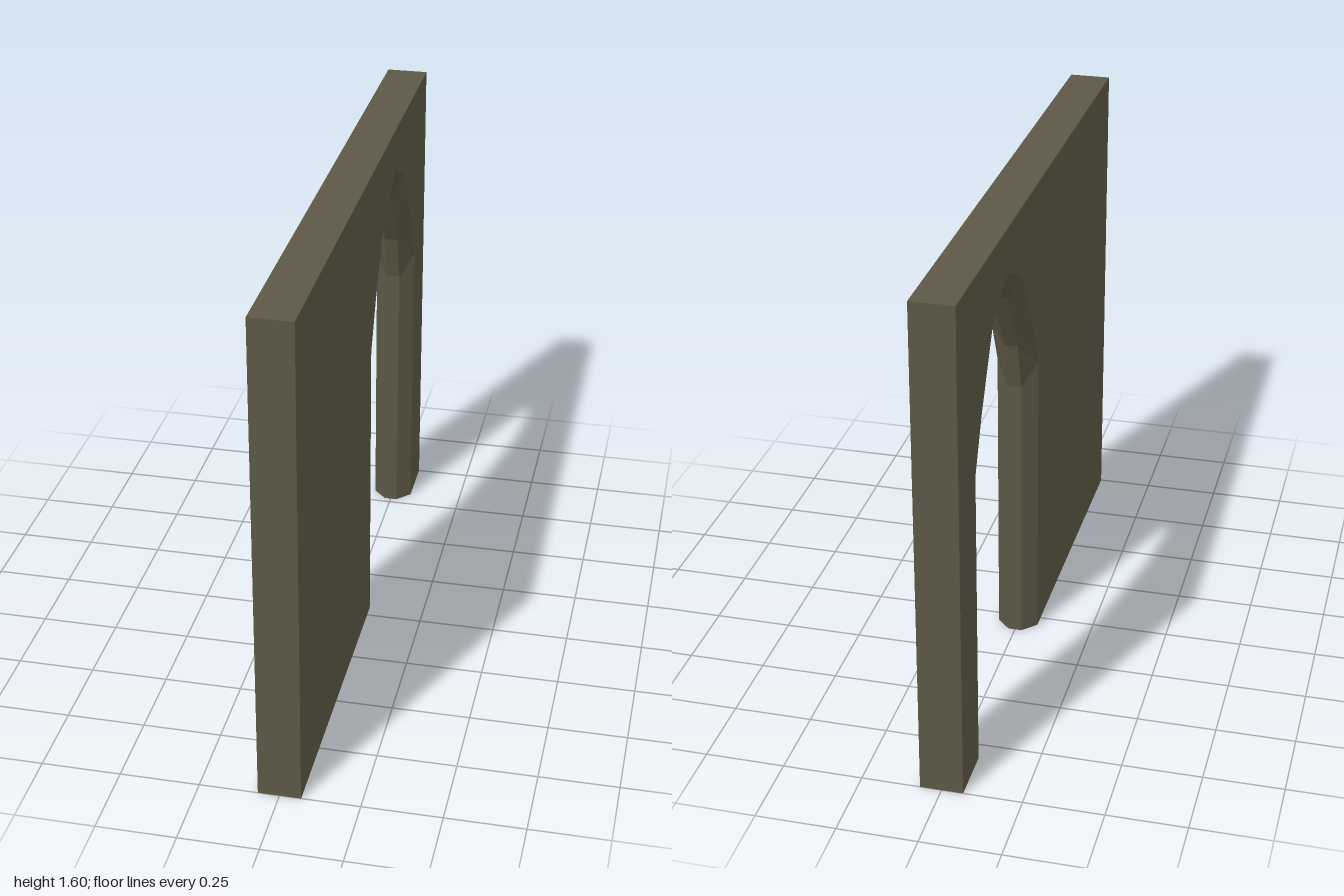
import * as THREE from 'three';

const HALF = 0.067, HEIGHT = 1.595, ARCH_U = 0.432;

// Half-profile of the pointed arch: [half width, height] from floor to peak
const faceArch = [[0.387, 0], [0.387, 0.984], [0.315, 1.139], [0.179, 1.369], [0, 1.455]];
const throatArch = [[0.341, 0], [0.341, 0.914], [0.298, 1.075], [0.16, 1.3], [0, 1.388]];

// Counter-clockwise wall outline seen from +x (u = -z, v = y)
function wallOutline(arch) {
  const rising = arch.map(([w, y]) => new THREE.Vector2(ARCH_U - w, y));
  const falling = arch.slice(0, -1).reverse().map(([w, y]) => new THREE.Vector2(ARCH_U + w, y));
  return [
    new THREE.Vector2(-1, 0), ...rising, ...falling,
    new THREE.Vector2(1, 0), new THREE.Vector2(1, HEIGHT), new THREE.Vector2(-1, HEIGHT),
  ];
}

export function createModel() {
  const stone = new THREE.MeshStandardMaterial({ color: 0x5d5846 });
  stone.name = 'olive stone';

  // Outlines through the thickness: the opening narrows between its chamfers
  const face = wallOutline(faceArch), throat = wallOutline(throatArch);
  const layers = [[-HALF, face], [-0.022, throat], [0.022, throat], [HALF, face]];
  const n = face.length;
  const positions = [], index = [];
  for (const [x, outline] of layers)
    for (const p of outline) positions.push(x, p.y, -p.x);

  // Edges, chamfers and arch throat
  for (let k = 0; k < layers.length - 1; k++)
    for (let i = 0; i < n; i++) {
      const a = k * n + i, b = k * n + (i + 1) % n;
      index.push(a, b, b + n, a, b + n, a + n);
    }

  // Two broad wall faces
  const last = (layers.length - 1) * n;
  for (const [a, b, c] of THREE.ShapeUtils.triangulateShape(face, [])) {
    index.push(last + a, last + b, last + c);
    index.push(a, c, b);
  }

  const indexed = new THREE.BufferGeometry();
  indexed.setAttribute('position', new THREE.Float32BufferAttribute(positions, 3));
  indexed.setIndex(index);
  const geometry = indexed.toNonIndexed();
  geometry.computeVertexNormals();

  const wall = new THREE.Mesh(geometry, stone);
  wall.name = 'archedWall';
  const group = new THREE.Group();
  group.name = 'wallWithPointedArch';
  group.add(wall);
  return group;
}
